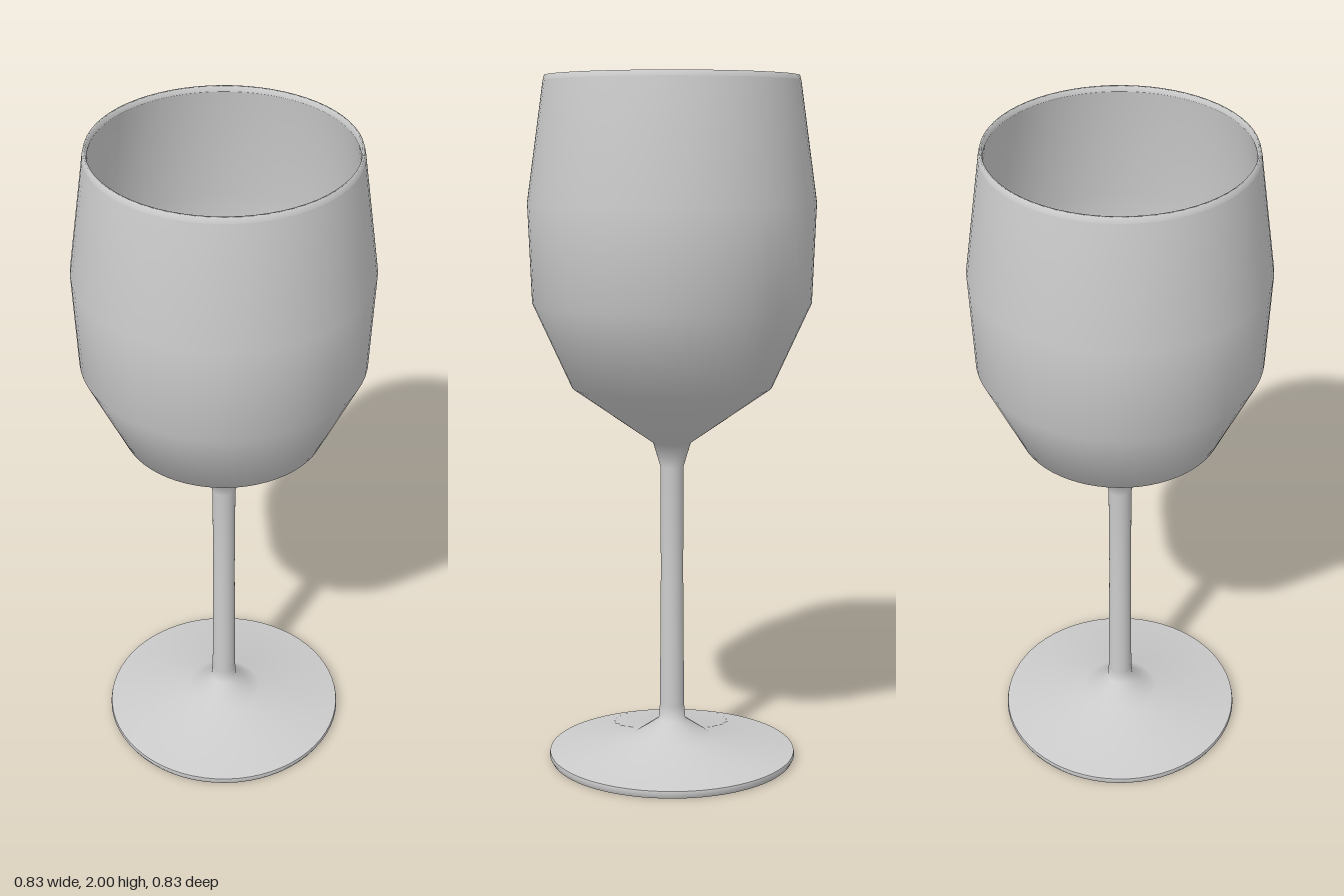
import * as THREE from 'three';

const SEGMENTS = 64;

export function createModel() {
  const group = new THREE.Group();
  group.name = 'wineGlass';

  const glass = new THREE.MeshStandardMaterial({ color: 0xcccccc });
  glass.name = 'pale grey glass';

  // Turns a list of [radius, height] points into a smooth surface of revolution
  const turn = (name, profile) => {
    const points = profile.map(([r, y]) => new THREE.Vector2(r, y));
    const mesh = new THREE.Mesh(new THREE.LatheGeometry(points, SEGMENTS), glass);
    mesh.name = name;
    group.add(mesh);
  };

  // Flat underside and thin edge of the foot
  turn('footUnderside', [[0, 0], [0.36, 0]]);
  turn('footEdge', [[0.36, 0], [0.366, 0.012], [0.364, 0.022]]);

  // Foot, stem and outer bowl flow together as one smooth skin
  turn('footStemAndBowl', [
    [0.364, 0.022], [0.115, 0.062], [0.04, 0.115], [0.036, 0.16],
    [0.033, 0.57], [0.034, 0.88], [0.055, 0.95],
    [0.29, 1.115], [0.402, 1.36], [0.413, 1.645], [0.365, 1.985],
  ]);

  // Narrow rounded lip
  turn('rim', [[0.365, 1.985], [0.361, 2], [0.355, 2], [0.352, 1.985]]);

  // Inside of the bowl
  turn('bowlInterior', [
    [0.352, 1.985], [0.4, 1.645], [0.39, 1.365], [0.28, 1.13], [0, 0.965],
  ]);

  return group;
}
